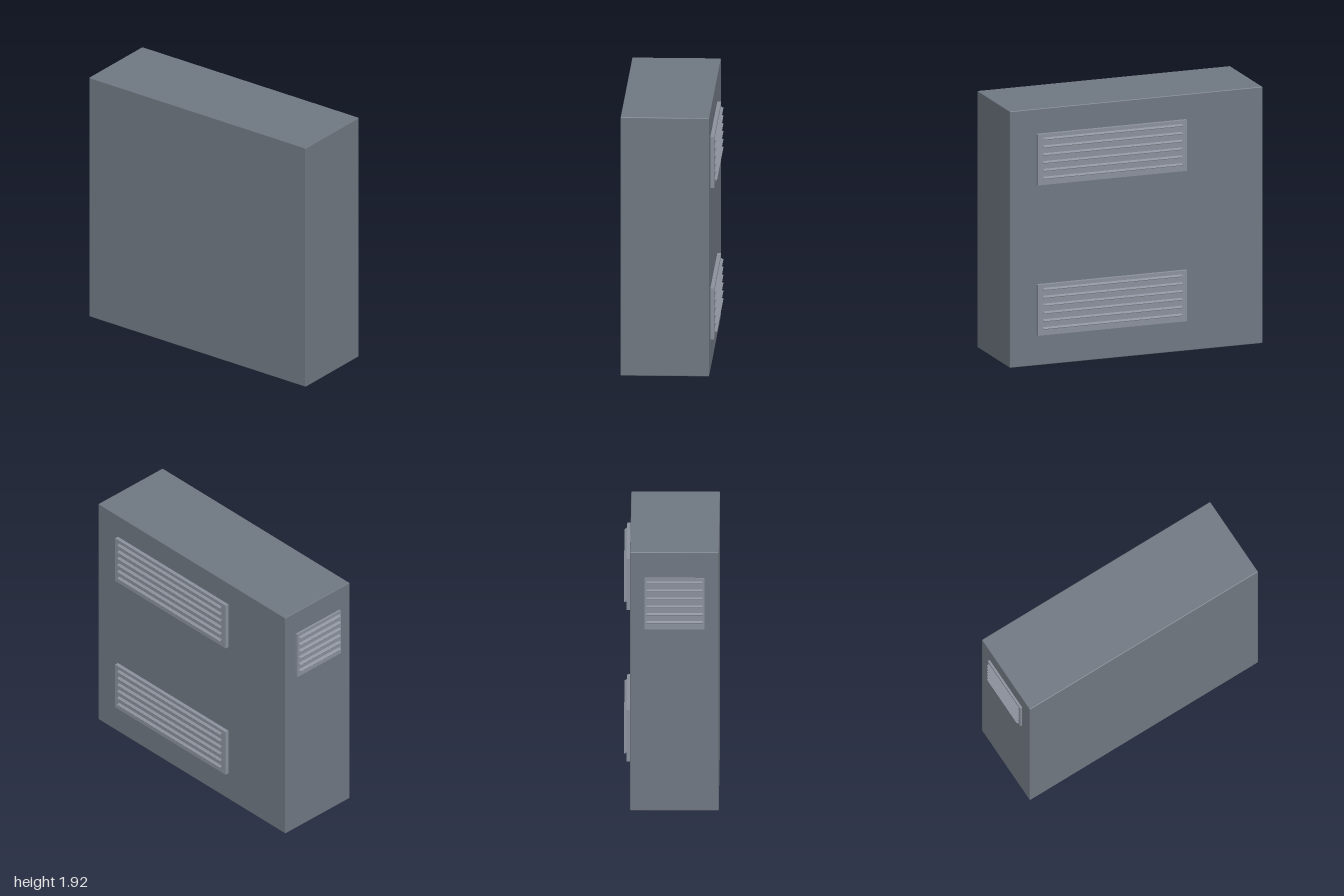
import * as THREE from 'three';
import { RoundedBoxGeometry } from 'three/addons/geometries/RoundedBoxGeometry.js';

const cabinetMaterial = new THREE.MeshStandardMaterial({ color: 0x6f7781 });
const ventMaterial = new THREE.MeshStandardMaterial({ color: 0x8b909c });

// A louvred vent facing +z, its back on the z = 0 plane
function createVent(name, width, depth, slatLength) {
  const vent = new THREE.Group();
  vent.name = name;

  const height = 0.38;
  const plate = new THREE.Mesh(new THREE.BoxGeometry(width, height, depth), ventMaterial);
  plate.name = 'ventPlate';
  plate.position.z = depth / 2;
  vent.add(plate);

  // Six thin slats sloping down and outwards
  const slatGeometry = new THREE.BoxGeometry(slatLength, 0.005, 0.042);
  for (let i = 0; i < 6; i++) {
    const slat = new THREE.Mesh(slatGeometry, ventMaterial);
    slat.name = 'ventSlat';
    slat.position.set(0, 0.162 - i * 0.0585, depth - 0.001);
    slat.rotation.x = Math.PI / 6;
    vent.add(slat);
  }
  return vent;
}

export function createModel() {
  const model = new THREE.Group();
  model.name = 'ventedCabinet';

  // Plain cabinet with finely eased edges
  const size = { x: 1.964, y: 1.918, z: 0.642 };
  const cabinet = new THREE.Mesh(
    new RoundedBoxGeometry(size.x, size.y, size.z, 2, 0.006), cabinetMaterial);
  cabinet.name = 'cabinet';
  cabinet.position.set(0.015, size.y / 2, 0.022);
  model.add(cabinet);

  // Two wide vents on the back
  for (const [name, y] of [['upperBackVent', 1.542], ['lowerBackVent', 0.418]]) {
    const vent = createVent(name, 1.16, 0.028, 1.08);
    vent.position.set(0.211, y, -0.299);
    vent.rotation.y = Math.PI;
    model.add(vent);
  }

  // One small vent on the -x side
  const sideVent = createVent('sideVent', 0.435, 0.016, 0.404);
  sideVent.position.set(-0.967, 1.54, 0.022);
  sideVent.rotation.y = -Math.PI / 2;
  model.add(sideVent);

  return model;
}
